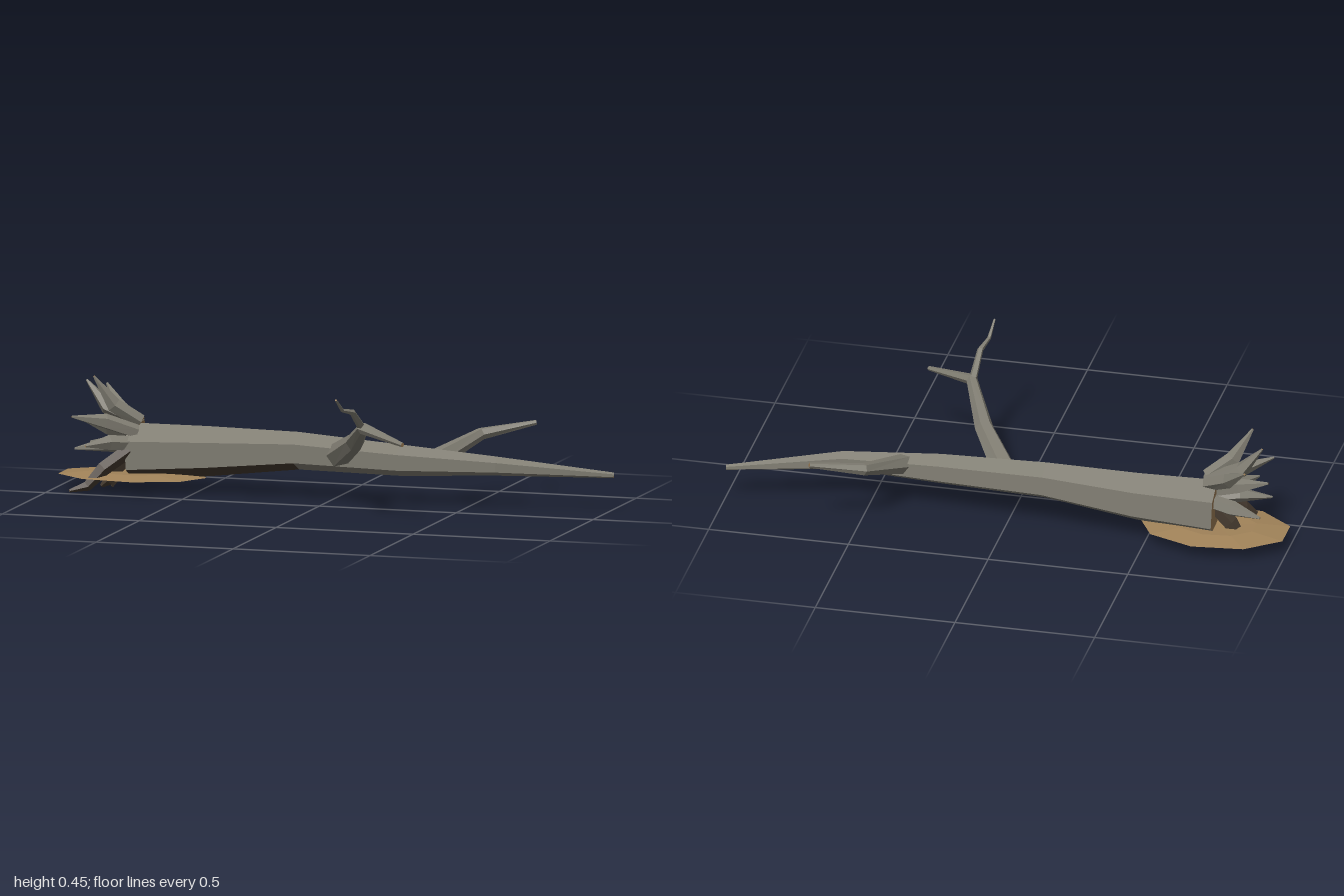
import * as THREE from 'three';

const bark = new THREE.MeshStandardMaterial({ color: 0x807d72 });
bark.name = 'grey bark';
const cutWood = new THREE.MeshStandardMaterial({ color: 0x9c7c55 });
cutWood.name = 'cut wood';
const dampBark = new THREE.MeshStandardMaterial({ color: 0x453a2f });
dampBark.name = 'damp dark bark';
const sand = new THREE.MeshStandardMaterial({ color: 0xa18359, side: THREE.DoubleSide });
sand.name = 'sand';

// Faceted tapering limb through rings [x, y, z, radius]; isDamp(ring, face) picks dark faces
function limb(name, rings, sides, turn = 0, isDamp = () => false) {
  const centres = rings.map(r => new THREE.Vector3(r[0], r[1], r[2]));
  const last = rings.length - 1;
  const pos = [], dry = [], damp = [], caps = [];
  const up = new THREE.Vector3(0, 1, 0);
  rings.forEach((ring, j) => {
    const t = centres[Math.min(j + 1, last)].clone().sub(centres[Math.max(j - 1, 0)]).normalize();
    const side = up.clone().cross(t).normalize();
    const rise = t.clone().cross(side);
    for (let i = 0; i < sides; i++) {
      const a = turn + i / sides * Math.PI * 2;
      const p = centres[j].clone()
        .addScaledVector(side, Math.cos(a) * ring[3])
        .addScaledVector(rise, Math.sin(a) * ring[3]);
      pos.push(p.x, p.y, p.z);
    }
  });
  for (let j = 0; j < last; j++) {
    for (let i = 0; i < sides; i++) {
      const a = j * sides + i, b = j * sides + (i + 1) % sides;
      (isDamp(j, i) ? damp : dry).push(a, b, a + sides, b, b + sides, a + sides);
    }
  }
  for (let i = 1; i < sides - 1; i++) {
    const e = last * sides;
    caps.push(0, i + 1, i, e, e + i, e + i + 1);
  }
  const indexed = new THREE.BufferGeometry();
  indexed.setAttribute('position', new THREE.Float32BufferAttribute(pos, 3));
  indexed.setIndex([...dry, ...caps, ...damp]);
  const geo = indexed.toNonIndexed();
  geo.addGroup(0, dry.length, 0);
  geo.addGroup(dry.length, caps.length, 1);
  geo.addGroup(dry.length + caps.length, damp.length, 2);
  geo.computeVertexNormals();
  const mesh = new THREE.Mesh(geo, [bark, cutWood, dampBark]);
  mesh.name = name;
  return mesh;
}

// Low nine-sided mound of sand under the root end
function sandPatch() {
  const n = 9, pos = [];
  const point = (k, i, y) => {
    const a = i / n * Math.PI * 2;
    return [-0.735 + Math.cos(a) * 0.27 * k, y, -0.168 + Math.sin(a) * 0.174 * k];
  };
  for (let i = 0; i < n; i++) {
    const a = point(1, i, 0.055), b = point(1, i + 1, 0.055);
    const c = point(0.55, i, 0.067), d = point(0.55, i + 1, 0.067);
    pos.push(...a, ...c, ...b, ...b, ...c, ...d, ...c, -0.735, 0.064, -0.168, ...d);
  }
  const geo = new THREE.BufferGeometry();
  geo.setAttribute('position', new THREE.Float32BufferAttribute(pos, 3));
  geo.computeVertexNormals();
  const mesh = new THREE.Mesh(geo, sand);
  mesh.name = 'sandPatch';
  return mesh;
}

export function createModel() {
  const model = new THREE.Group();
  model.name = 'fallenTree';

  // Trunk, damp along the lower front of its thick half
  model.add(limb('trunk', [
    [-0.74, 0.137, -0.175, 0.101],
    [-0.46, 0.148, -0.184, 0.089],
    [-0.13, 0.167, -0.172, 0.067],
    [0.25, 0.155, -0.148, 0.056],
    [0.6, 0.15, -0.152, 0.034],
    [0.998, 0.122, -0.248, 0.01],
  ], 6, 0.576, (ring, face) => ring < 2 && face === 3));

  // Forked branch on the front side
  model.add(limb('frontBranch', [
    [0.03, 0.165, -0.13, 0.045],
    [0.14, 0.24, 0.03, 0.033],
    [0.23, 0.322, 0.225, 0.021],
    [0.41, 0.289, 0.337, 0.008],
  ], 6));
  model.add(limb('frontTwig', [
    [0.225, 0.325, 0.22, 0.015],
    [0.222, 0.393, 0.32, 0.011],
    [0.206, 0.408, 0.385, 0.007],
    [0.2, 0.453, 0.442, 0.004],
  ], 5));

  // Bent branch on the back side
  model.add(limb('backBranch', [
    [0.38, 0.165, -0.16, 0.036],
    [0.48, 0.228, -0.355, 0.022],
    [0.655, 0.264, -0.438, 0.009],
  ], 6));

  // Splayed roots: start, swollen middle, tip
  const roots = [
    [[-0.705, 0.245, -0.165], [-0.79, 0.305, -0.125], [-0.85, 0.408, -0.087]],
    [[-0.705, 0.237, -0.175], [-0.83, 0.29, -0.175], [-0.905, 0.38, -0.178]],
    [[-0.71, 0.225, -0.18], [-0.8, 0.275, -0.235], [-0.875, 0.348, -0.319]],
    [[-0.71, 0.21, -0.14], [-0.81, 0.25, -0.09], [-0.91, 0.272, -0.022]],
    [[-0.71, 0.17, -0.13], [-0.79, 0.18, -0.065], [-0.85, 0.176, 0.012]],
    [[-0.71, 0.19, -0.165], [-0.82, 0.22, -0.165], [-0.925, 0.245, -0.17]],
    [[-0.71, 0.17, -0.2], [-0.81, 0.16, -0.225], [-0.915, 0.15, -0.255]],
    [[-0.71, 0.16, -0.15], [-0.81, 0.165, -0.12], [-0.92, 0.15, -0.085]],
  ];
  roots.forEach(([a, b, c], i) => model.add(limb('root' + (i + 1), [
    [...a, 0.026], [...b, 0.028], [...c, 0.004],
  ], 5, i)));

  // Dark roots reaching through the sand to the ground
  const allDamp = () => true;
  model.add(limb('frontGroundRoot', [
    [-0.73, 0.15, -0.11, 0.028], [-0.81, 0.088, -0.067, 0.027],
    [-0.86, 0.028, -0.035, 0.019], [-0.912, 0.014, -0.002, 0.006],
  ], 5, 0, allDamp));
  model.add(limb('middleGroundRoot', [
    [-0.73, 0.14, -0.17, 0.028], [-0.79, 0.08, -0.175, 0.028],
    [-0.825, 0.028, -0.178, 0.02], [-0.85, 0.008, -0.172, 0.006],
  ], 5, 0, allDamp));
  model.add(limb('middleGroundRootlet', [
    [-0.785, 0.09, -0.178, 0.018], [-0.8, 0.035, -0.185, 0.015],
    [-0.815, 0.006, -0.188, 0.005],
  ], 5, 0, allDamp));

  model.add(sandPatch());
  return model;
}
